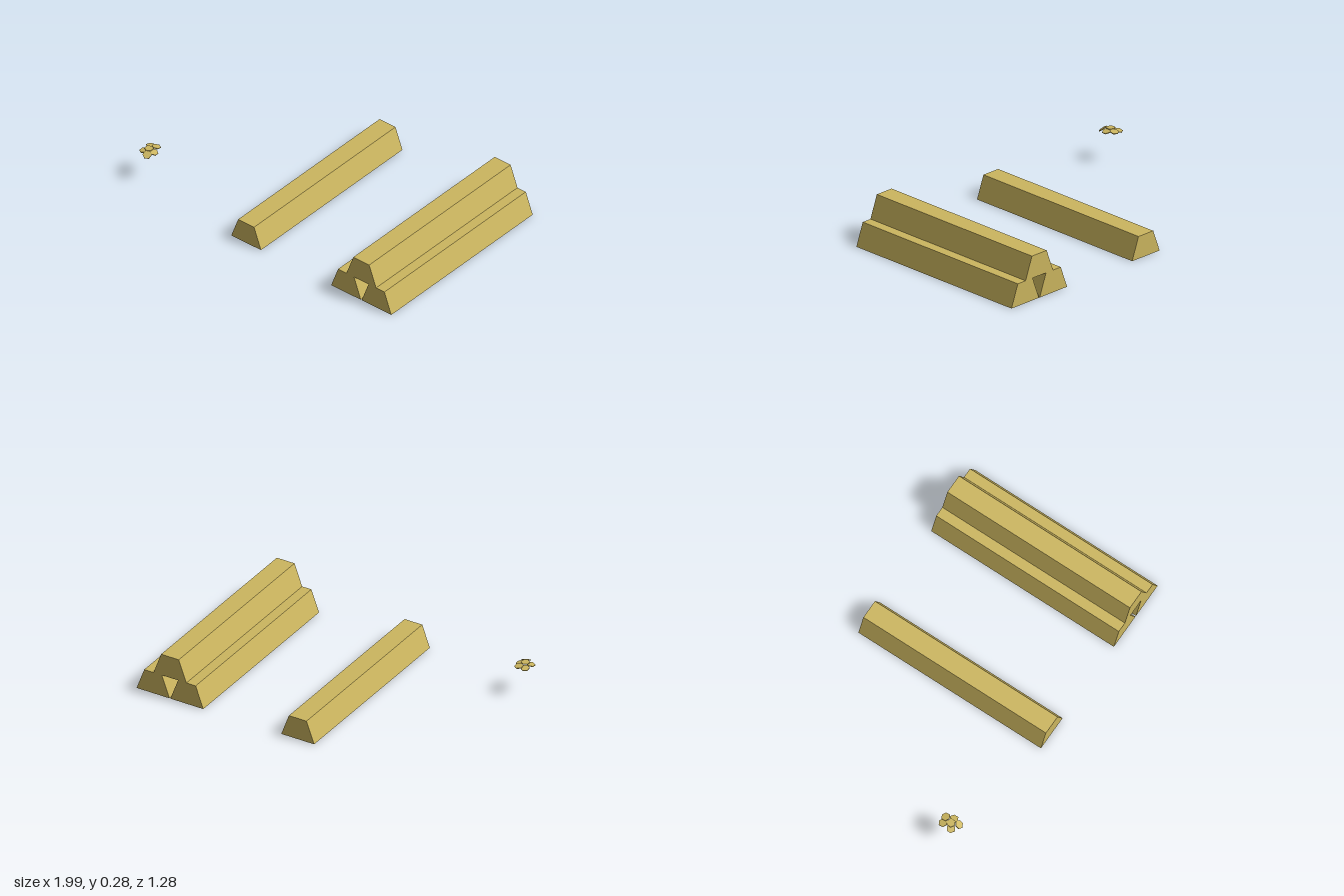
import * as THREE from 'three';

const gold = new THREE.MeshStandardMaterial({ color: 0xccb65f, flatShading: true });

// Bar with a trapezoid section, running along z
function ingotGeometry(bottom, top, height, length) {
  const shape = new THREE.Shape([
    new THREE.Vector2(-bottom / 2, 0),
    new THREE.Vector2(bottom / 2, 0),
    new THREE.Vector2(top / 2, height),
    new THREE.Vector2(-top / 2, height),
  ]);
  const geometry = new THREE.ExtrudeGeometry(shape, { depth: length, bevelEnabled: false });
  return geometry.translate(0, 0, -length / 2);
}

export function createModel() {
  const model = new THREE.Group();
  model.name = 'goldPile';

  const add = (parent, name, geometry, x, y, z) => {
    const mesh = new THREE.Mesh(geometry, gold);
    mesh.name = name;
    mesh.position.set(x, y, z);
    parent.add(mesh);
    return mesh;
  };

  // Single ingot and the stack of three
  const ingot = ingotGeometry(0.224, 0.12, 0.14, 1.276);
  add(model, 'singleIngot', ingot, -0.1, 0, 0);
  const stack = new THREE.Group();
  stack.name = 'ingotStack';
  model.add(stack);
  add(stack, 'stackIngotRight', ingot, 0.655, 0, 0);
  add(stack, 'stackIngotLeft', ingot, 0.885, 0, 0);
  add(stack, 'stackIngotTop', ingot, 0.77, 0.14, 0);

  // Small cluster of six-sided coins, the outer ones drooping outward
  const coins = new THREE.Group();
  coins.name = 'coinCluster';
  model.add(coins);
  const coin = new THREE.CylinderGeometry(0.027, 0.027, 0.005, 6);
  const centre = { x: -0.946, z: 0.505 };
  // x, y, z, tilt
  const places = [
    [centre.x, 0.203, centre.z, 0],
    [-0.968, 0.192, 0.463, 0.2],
    [-0.93, 0.197, 0.457, 0.2],
    [-0.911, 0.192, 0.503, 0.3],
    [-0.971, 0.188, 0.521, 0.2],
    [-0.925, 0.191, 0.547, 0.6],
  ];
  places.forEach(([x, y, z, tilt], i) => {
    const mesh = add(coins, `coin${i + 1}`, coin, x, y, z);
    const axis = new THREE.Vector3(z - centre.z, 0, centre.x - x);
    if (tilt) mesh.quaternion.setFromAxisAngle(axis.normalize(), tilt);
  });

  return model;
}
